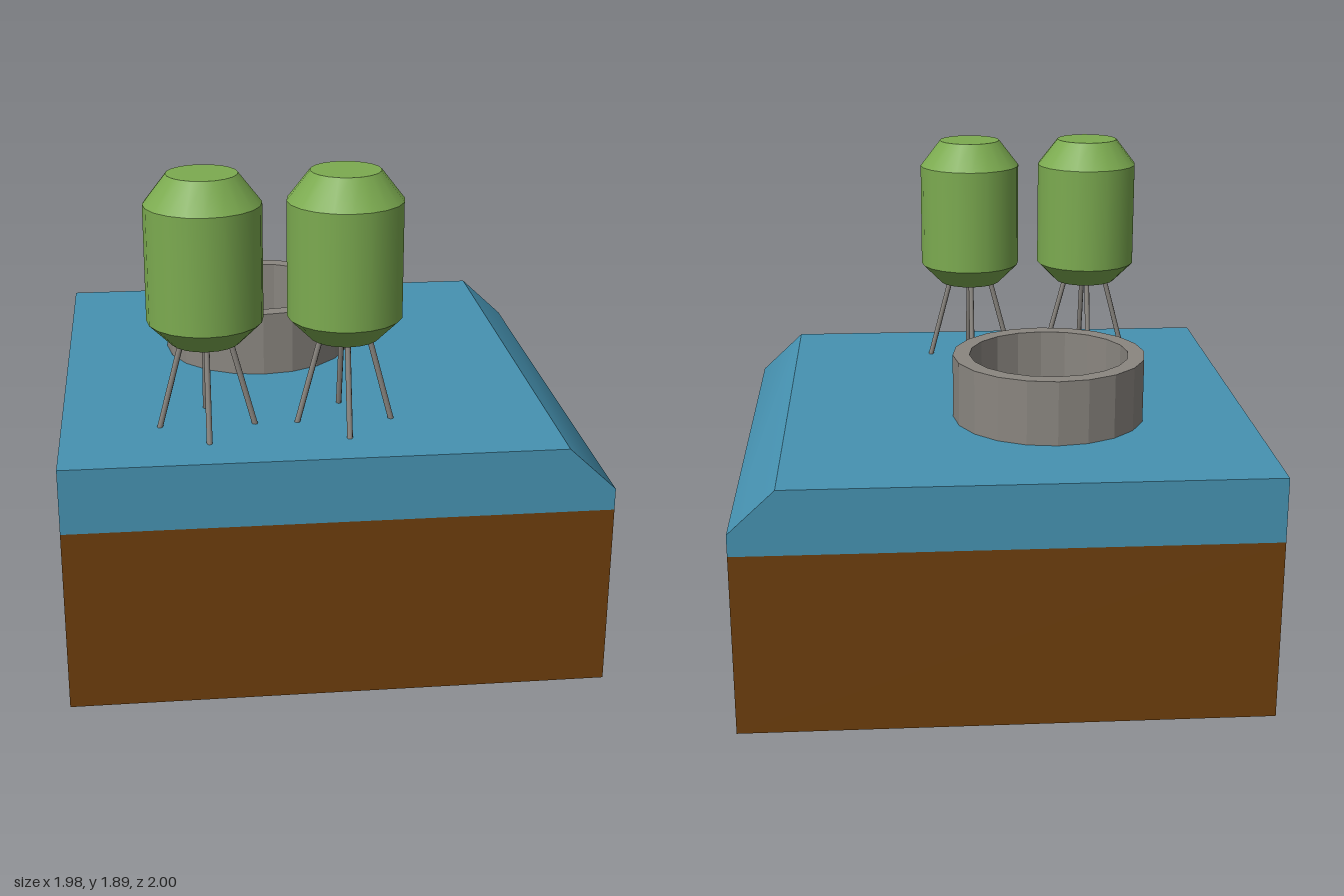
import * as THREE from 'three';

const BROWN = new THREE.MeshStandardMaterial({ name: 'brown earth', color: 0x6d3e0d, side: THREE.DoubleSide });
const BLUE = new THREE.MeshStandardMaterial({ name: 'blue deck', color: 0x4692b1, side: THREE.DoubleSide });
const GREEN = new THREE.MeshStandardMaterial({ name: 'green tank', color: 0x7cab50 });
const GREY = new THREE.MeshStandardMaterial({ name: 'warm grey', color: 0x8a8680 });

const HALF_X = 0.99, HALF_Z = 1, SEAM = 0.695, DECK = 0.94;

function add(parent, name, geometry, material, x = 0, y = 0, z = 0) {
  const mesh = new THREE.Mesh(geometry, material);
  mesh.name = name;
  mesh.position.set(x, y, z);
  parent.add(mesh);
  return mesh;
}

// Sheet swept along z from a profile of [x, y] points, smooth across its bends
function sheet(profile) {
  const positions = [], index = [];
  profile.forEach(([x, y], i) => {
    positions.push(x, y, HALF_Z, x, y, -HALF_Z);
    if (i > 0) {
      const a = 2 * (i - 1);
      index.push(a, a + 2, a + 1, a + 1, a + 2, a + 3);
    }
  });
  const g = new THREE.BufferGeometry();
  g.setAttribute('position', new THREE.Float32BufferAttribute(positions, 3));
  g.setIndex(index);
  g.computeVertexNormals();
  return g;
}

// Thin straight rod between two points
function rod(parent, name, from, to, radius) {
  const dir = to.clone().sub(from);
  const mesh = add(parent, name, new THREE.CylinderGeometry(radius, radius, dir.length(), 8), GREY);
  mesh.position.copy(from).add(to).multiplyScalar(0.5);
  mesh.quaternion.setFromUnitVectors(new THREE.Vector3(0, 1, 0), dir.normalize());
}

// Tank with tapered ends on four splayed legs
function makeTank(name, x, z) {
  const tank = new THREE.Group();
  tank.name = name;
  tank.position.set(x, 0, z);
  const R = 0.21, r = 0.127, sides = 20;
  const section = (part, top, bottom, y0, y1, open) =>
    add(tank, part, new THREE.CylinderGeometry(top, bottom, y1 - y0, sides, 1, open), GREEN, 0, (y0 + y1) / 2, 0);
  section('tankBottom', R, r, 1.27, 1.353, false);
  section('tankBody', R, R, 1.353, 1.78, true);
  section('tankTop', r, R, 1.78, 1.887, false);
  for (let i = 0; i < 4; i++) {
    const c = Math.round(Math.cos(i * Math.PI / 2)), s = Math.round(Math.sin(i * Math.PI / 2));
    rod(tank, 'tankLeg', new THREE.Vector3(c * 0.175, DECK - 0.004, s * 0.175),
      new THREE.Vector3(c * 0.082, 1.29, s * 0.082), 0.0105);
  }
  return tank;
}

export function createModel() {
  const model = new THREE.Group();
  model.name = 'tankPlatform';

  // Base: four thin walls, open above and below
  const walls = new THREE.BoxGeometry(2 * HALF_X, SEAM, 2 * HALF_Z);
  const faces = Array.from(walls.index.array);
  walls.setIndex([...faces.slice(0, 12), ...faces.slice(24)]);
  walls.clearGroups();
  add(model, 'baseWalls', walls, BROWN, 0, SEAM / 2, 0);

  // Deck: hollow shell with one bevelled edge
  const outline = [[-HALF_X, SEAM], [HALF_X, SEAM], [HALF_X, 0.777], [0.815, DECK], [-HALF_X, DECK]];
  add(model, 'deckBevelSide', sheet(outline.slice(1, 4)), BLUE);
  add(model, 'deckTop', sheet(outline.slice(3, 5)), BLUE);
  add(model, 'deckPlainSide', sheet([outline[4], outline[0]]), BLUE);
  const end = new THREE.ShapeGeometry(new THREE.Shape(outline.map(([x, y]) => new THREE.Vector2(x, y))));
  add(model, 'deckFront', end, BLUE, 0, 0, HALF_Z);
  add(model, 'deckBack', end, BLUE, 0, 0, -HALF_Z).rotation.y = 0;
  model.getObjectByName('deckBack').geometry = end.clone().scale(-1, 1, 1).rotateY(Math.PI);
  const back = model.getObjectByName('deckBack').geometry;
  back.setIndex(Array.from(back.index.array).reverse());

  // Ring wall standing on the deck
  const ring = new THREE.LatheGeometry([
    [0.31, DECK - 0.004], [0.375, DECK - 0.004],
    [0.375, DECK - 0.004], [0.375, 1.19],
    [0.375, 1.19], [0.31, 1.19],
    [0.31, 1.19], [0.31, DECK - 0.004],
  ].map(([x, y]) => new THREE.Vector2(x, y)), 20);
  const flat = ring.toNonIndexed();
  flat.computeVertexNormals();
  add(model, 'ringWall', flat, GREY, -0.21, 0, -0.235);

  // Pair of tanks
  model.add(makeTank('rightTank', -0.455, 0.645), makeTank('leftTank', 0.05, 0.645));
  return model;
}
